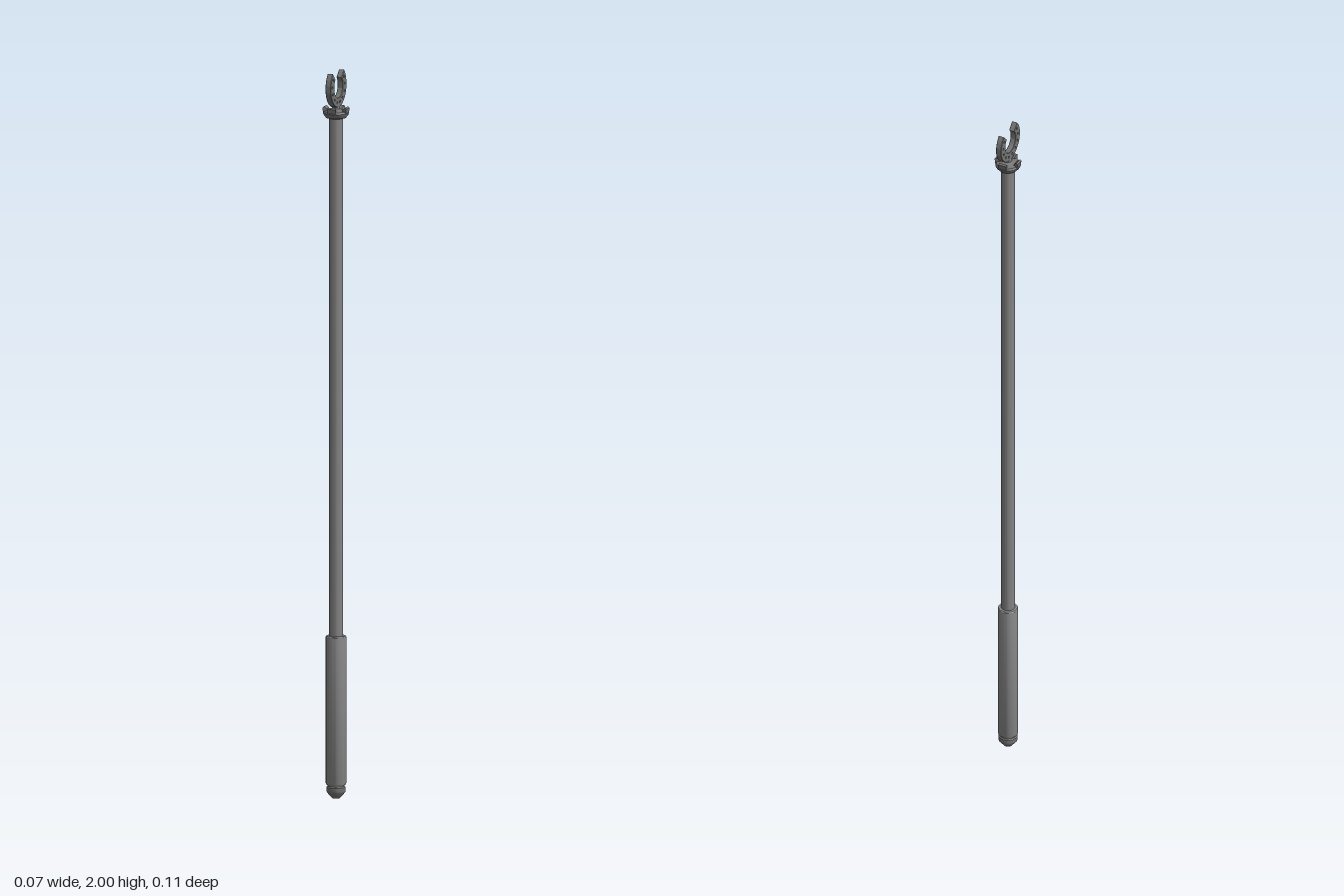
import * as THREE from 'three';
import { toCreasedNormals } from 'three/addons/utils/BufferGeometryUtils.js';

const steel = new THREE.MeshStandardMaterial({ color: 0x838383 });
const wrap = new THREE.MeshStandardMaterial({ color: 0x8c8c8c });
const darkSteel = new THREE.MeshStandardMaterial({ color: 0x747474 });

function addMesh(parent, name, geometry, material) {
  const mesh = new THREE.Mesh(toCreasedNormals(geometry, 0.55), material);
  mesh.name = name;
  parent.add(mesh);
  return mesh;
}

// Turned part from [radius, height] pairs, listed from bottom to top
function turned(parent, name, profile, material) {
  const points = profile.map(([r, y]) => new THREE.Vector2(r, y));
  return addMesh(parent, name, new THREE.LatheGeometry(points, 20), material);
}

// Open ring with its gap at the top and a row of small holes along its middle
function forkGeometry(outer, inner, tipAngle, thickness, bevel) {
  const shape = new THREE.Shape();
  shape.absarc(0, 0, outer, Math.PI - tipAngle, 2 * Math.PI + tipAngle, false);
  shape.absarc(0, 0, inner, 2 * Math.PI + tipAngle, Math.PI - tipAngle, true);
  shape.closePath();
  const middle = (outer + inner) / 2;
  for (let i = 0; i < 10; i++) {
    const angle = THREE.MathUtils.lerp(Math.PI - tipAngle + 0.25, 2 * Math.PI + tipAngle - 0.25, i / 9);
    const hole = new THREE.Path();
    hole.absarc(middle * Math.cos(angle), middle * Math.sin(angle), 0.0025, 0, 2 * Math.PI, true);
    shape.holes.push(hole);
  }
  const geometry = new THREE.ExtrudeGeometry(shape, {
    depth: thickness - 2 * bevel, curveSegments: 20, bevelEnabled: true,
    bevelThickness: bevel, bevelSize: bevel, bevelOffset: -bevel, bevelSegments: 1,
  });
  geometry.translate(0, 0, -thickness / 2 + bevel);
  geometry.rotateY(Math.PI / 2);
  return geometry;
}

export function createModel() {
  const staff = new THREE.Group();
  staff.name = 'staff';

  turned(staff, 'pommel', [
    [0, 0], [0.011, 0.001], [0.025, 0.017], [0.026, 0.021],
    [0.026, 0.031], [0.023, 0.034], [0.023, 0.042], [0, 0.042],
  ], darkSteel);

  turned(staff, 'grip', [
    [0, 0.038], [0.026, 0.038], [0.028, 0.042], [0.028, 0.445],
    [0.026, 0.448], [0.018, 0.448],
  ], wrap);

  turned(staff, 'shaft', [[0.019, 0.44], [0.019, 1.88]], steel);

  // Flared collar with a small neck that carries the fork
  turned(staff, 'collar', [
    [0.019, 1.872], [0.027, 1.874], [0.033, 1.881], [0.035, 1.887],
    [0.032, 1.892], [0.018, 1.895], [0.011, 1.899], [0.008, 1.912], [0, 1.912],
  ], darkSteel);

  // Four low claws standing on the collar rim
  const claw = new THREE.Shape();
  [[0.018, 1.888], [0.033, 1.885], [0.035, 1.901], [0.031, 1.905], [0.023, 1.898]]
    .forEach(([x, y], i) => (i ? claw.lineTo(x, y) : claw.moveTo(x, y)));
  claw.closePath();
  for (let i = 0; i < 4; i++) {
    const geometry = new THREE.ExtrudeGeometry(claw, { depth: 0.024, bevelEnabled: false });
    geometry.translate(0, 0, -0.012);
    // Taper each claw toward the axis
    const p = geometry.attributes.position;
    for (let k = 0; k < p.count; k++) {
      p.setZ(k, p.getZ(k) * THREE.MathUtils.mapLinear(p.getX(k), 0.018, 0.035, 0.6, 1));
    }
    geometry.computeVertexNormals();
    addMesh(staff, 'collarClaw', geometry, darkSteel).rotation.y = i * Math.PI / 2;
  }

  // Open fork at the head
  addMesh(staff, 'fork', forkGeometry(0.057, 0.031, 0.78, 0.016, 0.001), darkSteel).position.y = 1.96;

  return staff;
}
